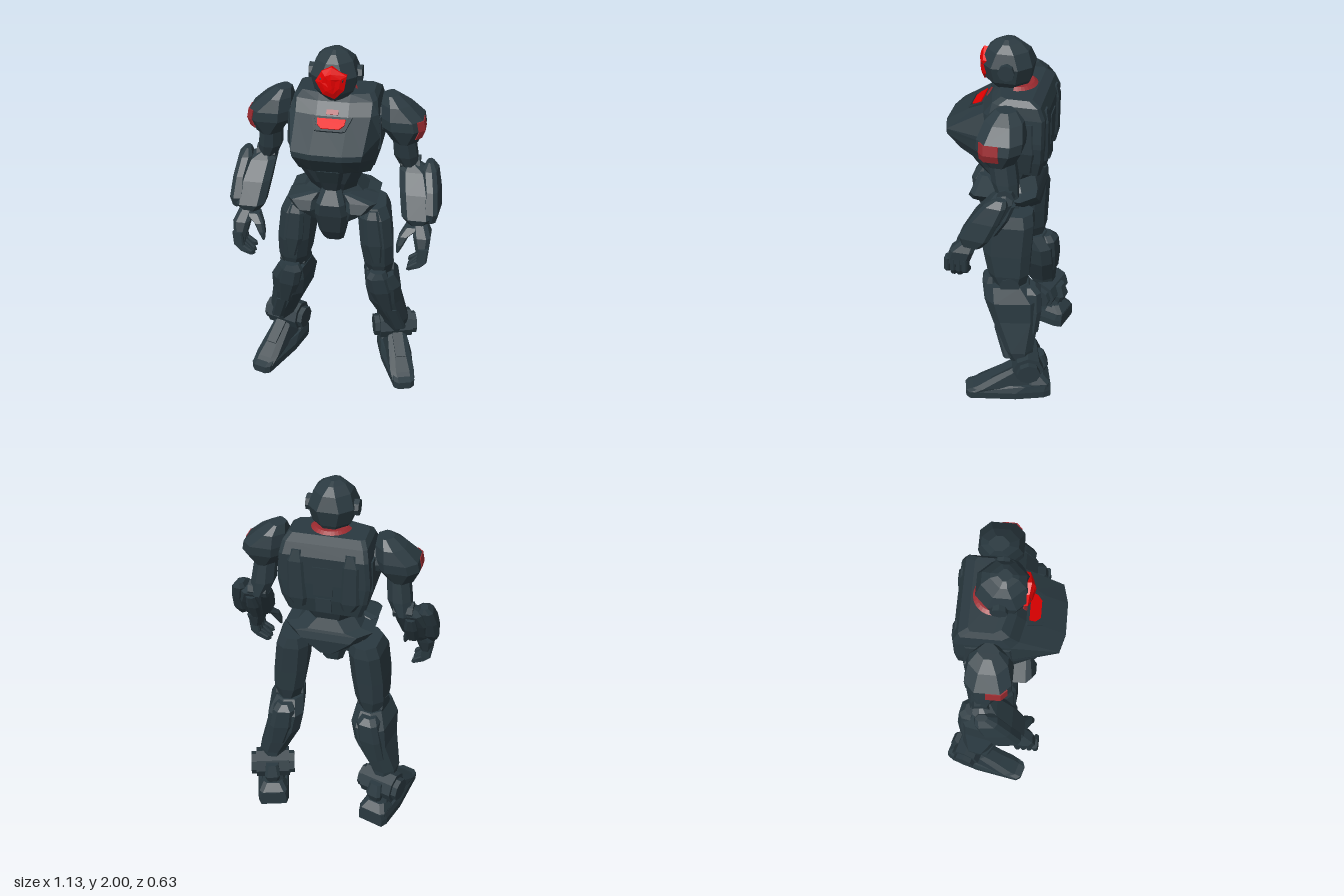
import * as THREE from 'three';

const material = (name, color) => {
  const m = new THREE.MeshStandardMaterial({ color });
  m.name = name;
  return m;
};

// Flat-faced geometry with every face turned outward
function faceted(geo) {
  const g = geo.index ? geo.toNonIndexed() : geo;
  const p = g.attributes.position;
  const v = [0, 1, 2].map(() => new THREE.Vector3());
  let volume = 0;
  for (let i = 0; i < p.count; i += 3) {
    v.forEach((q, k) => q.fromBufferAttribute(p, i + k));
    volume += v[0].dot(v[1].clone().cross(v[2]));
  }
  if (volume < 0) {
    for (let i = 0; i < p.count; i += 3) {
      v.forEach((q, k) => q.fromBufferAttribute(p, i + k));
      p.setXYZ(i + 1, v[2].x, v[2].y, v[2].z);
      p.setXYZ(i + 2, v[1].x, v[1].y, v[1].z);
    }
  }
  g.computeVertexNormals();
  return g;
}

// Closed solid through rings of equal point count
function loft(rings) {
  const n = rings[0].length, index = [];
  for (let r = 0; r < rings.length - 1; r++)
    for (let i = 0; i < n; i++) {
      const a = r * n + i, b = r * n + (i + 1) % n;
      index.push(a, b, a + n, b, b + n, a + n);
    }
  const last = (rings.length - 1) * n;
  for (let i = 1; i < n - 1; i++) {
    index.push(0, i + 1, i);
    index.push(last, last + i, last + i + 1);
  }
  const g = new THREE.BufferGeometry();
  g.setAttribute('position', new THREE.Float32BufferAttribute(rings.flat(2), 3));
  g.setIndex(index);
  return faceted(g);
}

// Horizontal chamfered rectangle, optionally turned about its centre
function ring(y, x0, x1, z0, z1, b, yaw = 0) {
  const cx = (x0 + x1) / 2, cz = (z0 + z1) / 2, w = (x1 - x0) / 2, d = (z1 - z0) / 2;
  const c = Math.min(b, w * 0.8, d * 0.8);
  const pts = [[w - c, -d], [w, c - d], [w, d - c], [w - c, d], [c - w, d], [-w, d - c], [-w, c - d], [c - w, -d]];
  return pts.map(([x, z]) => [
    cx + x * Math.cos(yaw) + z * Math.sin(yaw), y, cz - x * Math.sin(yaw) + z * Math.cos(yaw)]);
}

// rows: [y, x0, x1, z0, z1]
const block = (rows, bevel, yaw = 0) => loft(rows.map((r) => ring(...r, bevel, yaw)));
// rows: [y, halfWidth, z0, z1]
const centred = (rows, bevel) => block(rows.map(([y, w, a, b]) => [y, -w, w, a, b]), bevel);

function place(g, x, y, z, rx = 0, ry = 0, rz = 0) {
  return faceted(g.applyMatrix4(new THREE.Matrix4().makeRotationFromEuler(new THREE.Euler(rx, ry, rz)).setPosition(x, y, z)));
}
const box = (w, h, d, ...at) => place(new THREE.BoxGeometry(w, h, d), ...at);
const disc = (r, len, sides, x, y, z, yaw = 0) =>
  place(new THREE.CylinderGeometry(r, r, len, sides).rotateZ(Math.PI / 2), x, y, z, 0, yaw);

export function createModel() {
  const armour = material('dark slate armour', 0x2a3940);
  const bright = material('bright red', 0xf20000);
  const dull = material('dull red', 0x9c2b30);
  const model = new THREE.Group();
  model.name = 'robot';

  const add = (name, geo, mat = armour) => {
    const mesh = new THREE.Mesh(geo, mat);
    mesh.name = name;
    model.add(mesh);
  };
  const pair = (name, geo, mat = armour) => {
    add(name + 'Left', geo, mat);
    add(name + 'Right', faceted(geo.clone().scale(-1, 1, 1)), mat);
  };

  // Head, visor and ear discs
  add('head', centred([[1.75, 0.06, -0.08, 0.085], [1.8, 0.098, -0.105, 0.122], [1.88, 0.115, -0.12, 0.135],
    [1.95, 0.092, -0.095, 0.11], [1.985, 0.06, -0.055, 0.075], [2.0, 0.03, -0.02, 0.045]], 0.06));
  const visor = [[0, 1.945], [0.073, 1.9], [0.06, 1.825], [0.015, 1.78], [-0.045, 1.8], [-0.082, 1.865], [-0.05, 1.92]];
  add('visor', loft([[0.112, 1], [0.134, 1], [0.15, 0.62], [0.155, 0.3]].map(([z, s]) =>
    visor.map(([x, y]) => [x * s, 1.865 + (y - 1.865) * s, z - 0.012 * Math.abs(x) / 0.08]))), bright);
  pair('earDisc', disc(0.042, 0.03, 8, 0.118, 1.87, -0.005));
  add('neck', place(new THREE.CylinderGeometry(0.065, 0.08, 0.12, 10), 0, 1.74, -0.02));

  // Chest with its forward wedge: [y, rear half-width, front half-width, back z, front z]
  const chest = [[1.35, 0.19, 0.13, -0.19, 0.1], [1.44, 0.22, 0.15, -0.21, 0.25], [1.53, 0.235, 0.172, -0.215, 0.315],
    [1.56, 0.235, 0.178, -0.215, 0.315], [1.68, 0.225, 0.19, -0.215, 0.12], [1.74, 0.212, 0.192, -0.19, 0.075],
    [1.768, 0.19, 0.17, -0.145, 0.035]];
  add('chest', loft(chest.map(([y, b, f, z0, z1]) => {
    const zm = Math.min(0.07, z1 - 0.06);
    const half = [[0.08, z1], [f, z1 - 0.025], [b, zm], [b, z0 + 0.012], [b - 0.02, z0]];
    return [...half.map(([x, z]) => [x, y, z]), ...half.reverse().map(([x, z]) => [-x, y, z])];
  })));
  const light = [[-0.072, -0.029], [0.072, -0.029], [0.068, 0.005], [0.045, 0.03], [-0.045, 0.03], [-0.068, 0.005]];
  add('chestLight', place(loft([-0.0045, 0.0045].map((y) => light.map(([x, z]) => [x, y, z]))), 0, 1.658, 0.16, 0.55), bright);
  add('throatStripe', box(0.06, 0.025, 0.009, 0, 1.698, 0.109, -0.64), dull);
  add('collarBack', place(new THREE.CylinderGeometry(0.085, 0.112, 0.02, 16, 1, false, Math.PI / 2, Math.PI), 0, 1.771, -0.035), dull);
  pair('collarRim', box(0.014, 0.012, 0.09, 0.083, 1.658, 0.16, 0.55, -0.3));
  add('collarLip', box(0.13, 0.012, 0.012, 0, 1.638, 0.196, 0.55));
  pair('chestSidePanel', block([[1.37, 0.185, 0.205, -0.15, 0.02], [1.5, 0.22, 0.242, -0.17, 0.08], [1.66, 0.215, 0.235, -0.16, 0.06]], 0.01));

  // Back plates
  pair('backRib', block([[1.39, 0.09, 0.16, -0.215, -0.16], [1.44, 0.08, 0.19, -0.226, -0.16],
    [1.65, 0.09, 0.19, -0.226, -0.16], [1.71, 0.1, 0.17, -0.212, -0.14]], 0.02));
  add('backPanel', box(0.1, 0.16, 0.02, 0, 1.55, -0.21));
  add('backPanelLower', box(0.08, 0.08, 0.03, 0, 1.41, -0.2));

  // Abdomen and pelvis
  add('abdomen', centred([[1.18, 0.1, -0.13, 0.11], [1.27, 0.12, -0.135, 0.13], [1.33, 0.135, -0.16, 0.17],
    [1.44, 0.18, -0.18, 0.215]], 0.06));
  add('bellyPlate', centred([[1.27, 0.045, 0.05, 0.155], [1.34, 0.06, 0.05, 0.19], [1.43, 0.075, 0.05, 0.24]], 0.02));
  add('hipBand', centred([[1.08, 0.1, -0.17, 0.06], [1.165, 0.2, -0.18, 0.11], [1.205, 0.235, -0.17, 0.12],
    [1.22, 0.17, -0.165, 0.13], [1.3, 0.105, -0.13, 0.13]], 0.07));
  add('groinPlate', centred([[0.945, 0.055, -0.04, 0.1], [1.02, 0.07, -0.06, 0.15], [1.14, 0.085, -0.08, 0.19],
    [1.21, 0.075, -0.05, 0.2], [1.3, 0.045, 0, 0.15]], 0.025));
  pair('hipFlap', block([[1.1, 0.07, 0.11, 0.06, 0.15], [1.165, 0.075, 0.19, 0.02, 0.19], [1.215, 0.07, 0.235, 0, 0.17],
    [1.255, 0.05, 0.1, 0.03, 0.15]], 0.03));
  pair('hipJoint', disc(0.06, 0.12, 10, 0.12, 1.09, -0.04));

  // Shoulders and upper arms
  pair('shoulderJoint', disc(0.07, 0.12, 10, 0.23, 1.62, -0.04));
  pair('shoulder', block([[1.515, 0.29, 0.42, -0.1, 0.05], [1.6, 0.24, 0.455, -0.14, 0.08], [1.65, 0.235, 0.445, -0.145, 0.078],
    [1.715, 0.23, 0.375, -0.13, 0.055], [1.757, 0.235, 0.315, -0.09, 0.01]], 0.05));
  const badge = [[0.459, -0.04], [0.459, 0.032], [0.43, 0.062], [0.426, 0.058], [0.452, 0.03], [0.452, -0.04]];
  pair('shoulderBadge', loft([[1.557, 0.016], [1.6, 0], [1.65, 0.01]].map(([y, dx]) => badge.map(([x, z]) => [x - dx, y, z]))), dull);
  pair('upperArm', block([[1.34, 0.335, 0.43, -0.125, -0.02], [1.42, 0.3, 0.42, -0.12, 0.01], [1.55, 0.29, 0.4, -0.1, 0.03]], 0.035));
  pair('elbow', disc(0.045, 0.1, 8, 0.385, 1.36, -0.07));

  // Forearms, leaning forward, with outer guards
  pair('forearm', block([[1.09, 0.4, 0.5, 0.05, 0.14], [1.14, 0.365, 0.53, 0.01, 0.155], [1.25, 0.345, 0.525, -0.06, 0.09],
    [1.34, 0.33, 0.49, -0.11, 0.01], [1.375, 0.35, 0.43, -0.105, -0.03]], 0.035));
  pair('forearmGuard', block([[1.115, 0.5, 0.545, 0.03, 0.13], [1.17, 0.475, 0.558, -0.015, 0.14], [1.27, 0.475, 0.548, -0.06, 0.085],
    [1.355, 0.455, 0.53, -0.095, 0.02], [1.385, 0.47, 0.505, -0.09, -0.03]], 0.02, -0.12));
  pair('forearmRidge', block([[1.14, 0.4, 0.46, -0.03, 0.06], [1.24, 0.39, 0.46, -0.09, 0], [1.32, 0.4, 0.45, -0.12, -0.05]], 0.015));

  // Hands: palm, four curled fingers and a thumb
  pair('palm', block([[0.98, 0.455, 0.518, 0.105, 0.225], [1.06, 0.435, 0.525, 0.075, 0.2], [1.11, 0.42, 0.5, 0.06, 0.14]], 0.02));
  for (let i = 0; i < 4; i++) {
    const z = 0.105 + i * 0.031, dip = i === 0 || i === 3 ? 0.015 : 0;
    pair('finger' + (i + 1), block([[0.868 + dip, 0.41, 0.435, z + 0.012, z + 0.034], [0.89 + dip, 0.415, 0.485, z + 0.01, z + 0.038],
      [0.935, 0.46, 0.515, z + 0.005, z + 0.035], [1.01, 0.468, 0.522, z, z + 0.03]], 0.008));
  }
  pair('thumb', block([[0.965, 0.352, 0.365, 0.185, 0.202], [1.01, 0.35, 0.388, 0.16, 0.202], [1.055, 0.36, 0.41, 0.14, 0.19],
    [1.095, 0.39, 0.47, 0.09, 0.155]], 0.01));

  // Thighs and knees
  pair('thigh', block([[0.7, 0.175, 0.305, -0.14, 0.04], [0.77, 0.155, 0.315, -0.155, 0.065], [0.9, 0.135, 0.31, -0.16, 0.09],
    [1.07, 0.118, 0.29, -0.17, 0.085], [1.13, 0.125, 0.265, -0.16, 0.06]], 0.045, 0.1));
  pair('thighPlate', block([[0.8, 0.2, 0.27, 0.03, 0.08], [0.92, 0.17, 0.275, 0.05, 0.1], [1.08, 0.16, 0.25, 0.05, 0.095],
    [1.12, 0.17, 0.24, 0.03, 0.075]], 0.02, 0.1));
  pair('kneeJoint', disc(0.055, 0.15, 8, 0.24, 0.71, -0.05, 0.2));

  // Shins with knee guards and calf plates
  pair('shin', block([[0.22, 0.28, 0.39, -0.2, -0.08], [0.32, 0.255, 0.405, -0.2, -0.035], [0.5, 0.175, 0.36, -0.215, 0.04],
    [0.62, 0.155, 0.352, -0.21, 0.075], [0.7, 0.165, 0.315, -0.15, 0.085]], 0.045, 0.2));
  pair('kneeGuard', block([[0.44, 0.255, 0.335, -0.02, 0.026], [0.6, 0.2, 0.325, 0.02, 0.085], [0.7, 0.18, 0.3, 0.02, 0.1],
    [0.735, 0.2, 0.285, 0.02, 0.09]], 0.025, 0.2));
  pair('calfPlate', block([[0.42, 0.23, 0.34, -0.218, -0.14], [0.55, 0.19, 0.32, -0.228, -0.14], [0.66, 0.18, 0.3, -0.22, -0.12],
    [0.69, 0.2, 0.28, -0.19, -0.12]], 0.025, 0.2));
  pair('shinPlate', block([[0.27, 0.325, 0.4, -0.09, -0.04], [0.44, 0.275, 0.355, -0.02, 0.02]], 0.015, 0.2));

  // Ankles and outward-turned feet, shaped with the heel at the origin
  const toe = 0.3;
  const foot = (g) => place(g, 0.29, 0, -0.29, 0, toe);
  pair('ankle', disc(0.085, 0.19, 8, 0.325, 0.22, -0.165, toe));
  pair('ankleCap', disc(0.065, 0.25, 8, 0.325, 0.215, -0.165, toe));
  pair('ankleRear', foot(block([[0.15, -0.035, 0.035, 0.03, 0.1], [0.2, -0.045, 0.045, 0.012, 0.1], [0.27, -0.035, 0.035, 0.035, 0.1]], 0.015)));
  const sole = [[-0.075, 0], [0.075, 0], [0.09, 0.04], [0.092, 0.2], [0.06, 0.455], [0.035, 0.475], [-0.035, 0.475], [-0.06, 0.455], [-0.092, 0.2], [-0.09, 0.04]];
  pair('sole', foot(loft([[0, 0.98, 1], [0.045, 1, 1], [0.085, 0.9, 0.7]].map(([y, w, l]) => sole.map(([x, z]) => [x * w, y, z * l])))));
  pair('instep', foot(block([[0.04, -0.065, 0.065, 0.03, 0.465], [0.07, -0.07, 0.07, 0.03, 0.41],
    [0.17, -0.055, 0.055, 0.06, 0.24], [0.21, -0.04, 0.04, 0.09, 0.2]], 0.03)));
  pair('heelBlock', foot(block([[0.03, -0.08, 0.08, 0, 0.13], [0.09, -0.08, 0.08, 0.002, 0.13], [0.13, -0.055, 0.055, 0.04, 0.12]], 0.02)));
  pair('tongue', foot(box(0.06, 0.02, 0.15, 0, 0.155, 0.265, 0.55)));

  return model;
}
